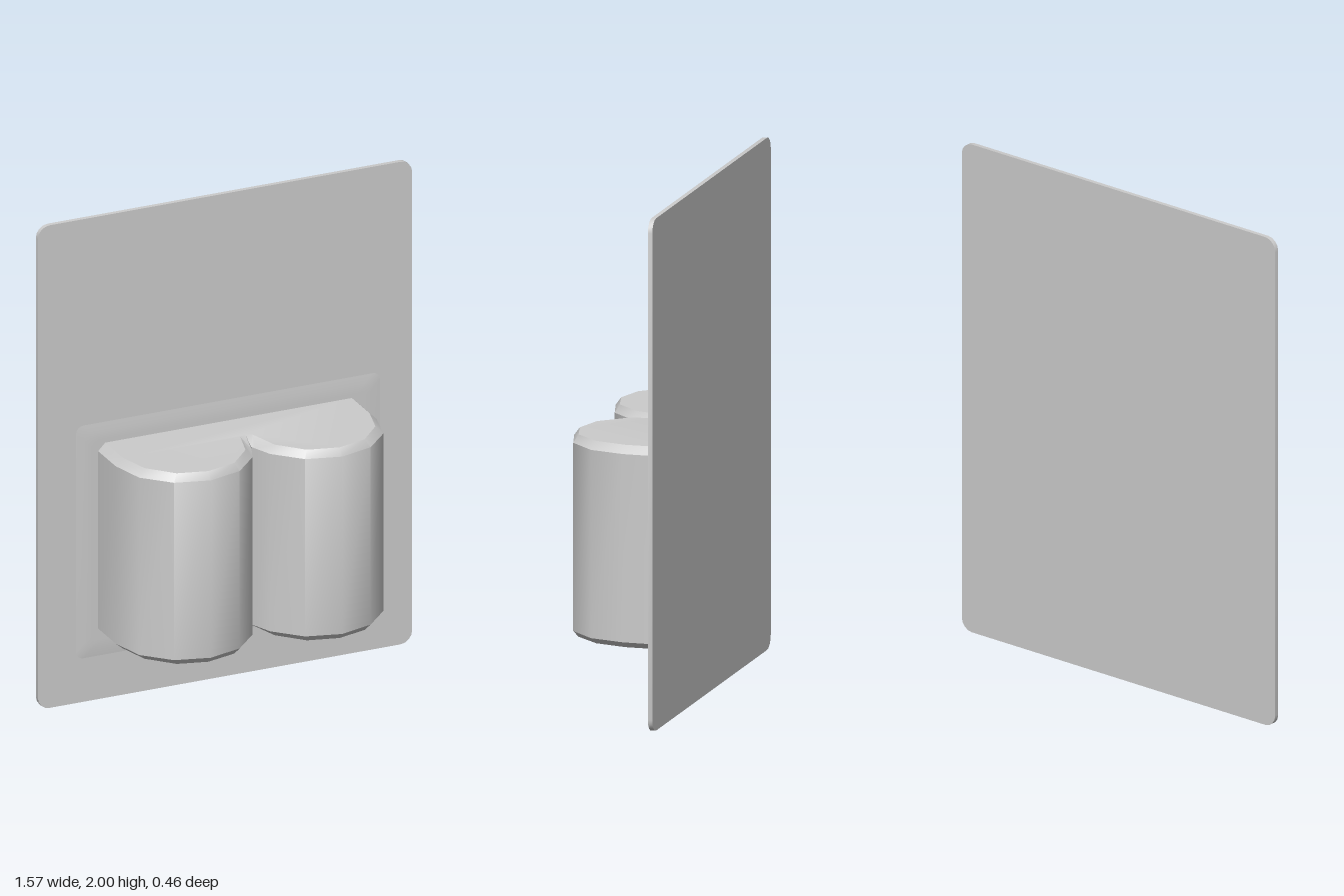
import * as THREE from 'three';
import { toCreasedNormals } from 'three/addons/utils/BufferGeometryUtils.js';

const material = new THREE.MeshStandardMaterial({ color: 0xcccccc, side: THREE.DoubleSide });

// Rounded rectangle outline as counter-clockwise 2D points.
function roundedRect(x0, x1, y0, y1, r, steps = 4) {
  const points = [];
  const corners = [[x1 - r, y0 + r], [x1 - r, y1 - r], [x0 + r, y1 - r], [x0 + r, y0 + r]];
  corners.forEach(([cx, cy], c) => {
    for (let i = 0; i <= steps; i++) {
      const a = (c - 1 + i / steps) * Math.PI / 2;
      points.push(new THREE.Vector2(cx + r * Math.cos(a), cy + r * Math.sin(a)));
    }
  });
  return points;
}

// Skin between matching loops of 3D points; capped loops get a flat face.
function loft(loops, closed, caps, crease) {
  const n = loops[0].length;
  const index = [];
  for (let k = 0; k < loops.length - 1; k++) {
    for (let i = 0; i < (closed ? n : n - 1); i++) {
      const a = k * n + i, b = k * n + (i + 1) % n;
      index.push(a, b, b + n, a, b + n, a + n);
    }
  }
  for (const { loop, flat, direction } of caps) {
    const p = loops[loop];
    for (const [a, b, c] of THREE.ShapeUtils.triangulateShape(p.map(flat), [])) {
      const normal = p[b].clone().sub(p[a]).cross(p[c].clone().sub(p[a]));
      const o = loop * n;
      if (normal.dot(direction) > 0) index.push(o + a, o + b, o + c);
      else index.push(o + a, o + c, o + b);
    }
  }
  const geometry = new THREE.BufferGeometry().setFromPoints(loops.flat());
  geometry.setIndex(index);
  return toCreasedNormals(geometry, crease);
}

function addMesh(group, name, geometry) {
  const mesh = new THREE.Mesh(geometry, material);
  mesh.name = name;
  group.add(mesh);
}

export function createModel() {
  const group = new THREE.Group();
  group.name = 'blisterPack';

  // Backing card
  const card = new THREE.ExtrudeGeometry(
    new THREE.Shape(roundedRect(-0.785, 0.785, 0, 2, 0.05)),
    { depth: 0.018, bevelEnabled: false });
  card.translate(0, 0, -0.23);
  addMesh(group, 'backingCard', toCreasedNormals(card, 0.6));

  // Shallow sloped flange around the blister
  const flangeRings = [[0, -0.214], [0.05, -0.2075], [0.08, -0.207]].map(([inset, z]) =>
    roundedRect(-0.64 + inset, 0.665 - inset, 0.165 + inset, 1.16 - inset, 0.03)
      .map(p => new THREE.Vector3(p.x, p.y, z)));
  addMesh(group, 'flange', loft(flangeRings, true, [
    { loop: 2, flat: p => new THREE.Vector2(p.x, p.y), direction: new THREE.Vector3(0, 0, 1) },
  ], 0.6));

  // Twin-lobed bubble: half profiles (x from the notch, z), mirrored
  const middle = 0.0125;
  const wall = [[-0.547, -0.215], [-0.547, -0.045], [-0.512, 0.092], [-0.412, 0.193],
    [-0.275, 0.23], [-0.137, 0.193], [-0.037, 0.092], [-0.008, 0.02], [0, 0]];
  const rim = [[-0.517, -0.215], [-0.517, -0.045], [-0.484, 0.08], [-0.394, 0.177],
    [-0.275, 0.208], [-0.152, 0.177], [-0.061, 0.08], [-0.026, -0.043], [0, -0.054]];
  const section = (half, y) => {
    const mirrored = half.slice(0, -1).reverse().map(([x, z]) => [-x, z]);
    return [...half, ...mirrored].map(([x, z]) => new THREE.Vector3(x + middle, y, z));
  };
  const flat = p => new THREE.Vector2(p.x, p.z);
  const bubble = loft(
    [section(rim, 0.27), section(wall, 0.295), section(wall, 1.03), section(rim, 1.06)],
    false,
    [{ loop: 0, flat, direction: new THREE.Vector3(0, -1, 0) },
      { loop: 3, flat, direction: new THREE.Vector3(0, 1, 0) }],
    0.62);
  addMesh(group, 'bubble', bubble);

  return group;
}
